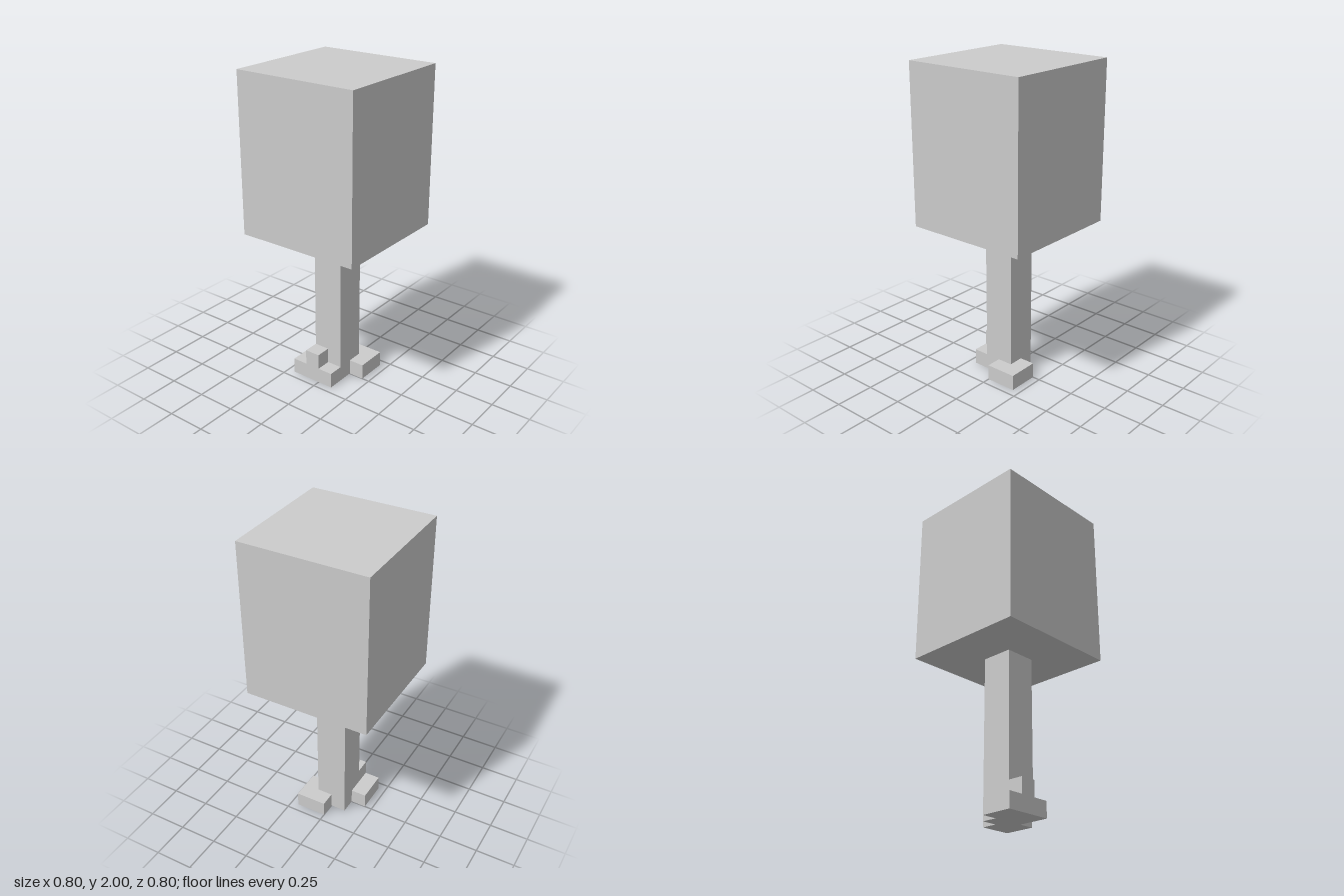
import * as THREE from 'three';

const material = new THREE.MeshStandardMaterial({ color: 0xcccccc, flatShading: true });

// Box spanning two opposite corners
function block(name, [x0, y0, z0], [x1, y1, z1]) {
  const mesh = new THREE.Mesh(new THREE.BoxGeometry(x1 - x0, y1 - y0, z1 - z0), material);
  mesh.position.set((x0 + x1) / 2, (y0 + y1) / 2, (z0 + z1) / 2);
  mesh.name = name;
  return mesh;
}

export function createModel() {
  const tree = new THREE.Group();
  tree.name = 'blockTree';

  // Crown and trunk
  tree.add(block('crown', [-0.4, 1, -0.4], [0.4, 2, 0.4]));
  tree.add(block('trunk', [-0.1, 0, -0.1], [0.1, 1, 0.1]));

  // Roots wrapped around the foot of the trunk
  const roots = new THREE.Group();
  roots.name = 'roots';
  roots.add(
    block('frontRoot', [-0.2, 0, 0.1], [0.1, 0.1, 0.2]),
    block('frontRootKnob', [-0.1, 0.1, 0.1], [0, 0.2, 0.2]),
    block('rightRoot', [-0.2, 0, 0], [-0.1, 0.1, 0.1]),
    block('leftRoot', [0.1, 0, -0.2], [0.2, 0.1, 0]),
    block('backRoot', [0, 0, -0.2], [0.1, 0.1, -0.1]),
  );
  tree.add(roots);
  return tree;
}
